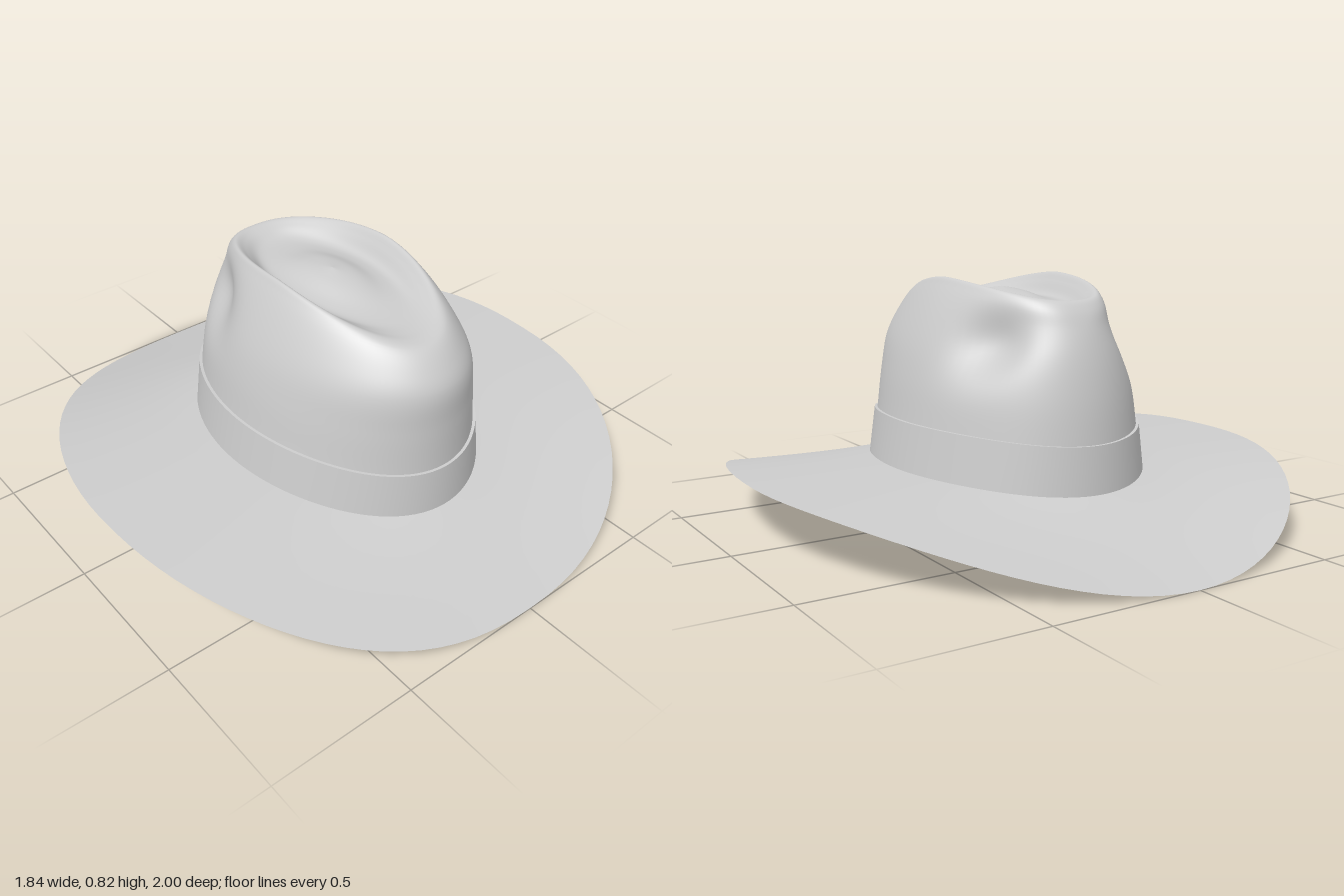
import * as THREE from 'three';

const COLS = 96;
const CZ = 0.03; // centre of the crown along z

// Smooth closed loft: rows run from the outside/bottom towards the inside/top
function loft(rows) {
  const pos = [], idx = [];
  rows.forEach(row => row.forEach(p => pos.push(p.x, p.y, p.z)));
  for (let j = 0; j < rows.length - 1; j++) {
    for (let i = 0; i < COLS; i++) {
      const n = (i + 1) % COLS;
      const a = j * COLS + i, b = j * COLS + n, c = a + COLS, d = b + COLS;
      idx.push(a, c, b, b, c, d);
    }
  }
  const g = new THREE.BufferGeometry();
  g.setAttribute('position', new THREE.Float32BufferAttribute(pos, 3));
  g.setIndex(idx);
  g.computeVertexNormals();
  return g;
}

const spow = (v, e) => Math.sign(v) * Math.pow(Math.abs(v), e);
// Brim height droops towards the two ends
const droop = z => 0.2 - 0.2 * Math.pow(Math.abs(z), 2.9);

// Crown rings: half width, z of +z end, z of -z end, y at sides, y at +z end, y at -z end
const RINGS = [
  [0.42, 0.595, -0.525],
  [0.395, 0.59, -0.52],
  [0.372, 0.59, -0.508, 0.49, 0.47, 0.47],
  [0.342, 0.588, -0.485, 0.6, 0.6, 0.59],
  [0.295, 0.555, -0.455, 0.71, 0.665, 0.68],
  [0.247, 0.505, -0.425, 0.795, 0.717, 0.735],
  [0.226, 0.465, -0.395, 0.82, 0.728, 0.762],
  [0.2, 0.42, -0.355, 0.79, 0.73, 0.755],
  [0.165, 0.35, -0.3, 0.745, 0.73, 0.735],
  [0.12, 0.25, -0.2, 0.745, 0.738, 0.738],
  [0.06, 0.13, -0.08, 0.768, 0.765, 0.765],
  [0, CZ, CZ, 0.78, 0.78, 0.78],
];

function ringPoint(k, a) {
  const [w, zf, zb, ys, yf, yb] = RINGS[k];
  const s = Math.sin(a), c = Math.cos(a);
  // The crease is blunter towards its narrow end
  const blunt = k >= 5 && s < 0 ? 0.82 : 1;
  const x = w * spow(c, blunt);
  const z = CZ + Math.abs(s) * ((s > 0 ? zf : zb) - CZ);
  if (k < 2) return new THREE.Vector3(x, droop(z) + k * 0.155, z);
  const y = ys + ((s > 0 ? yf : yb) - ys) * Math.pow(Math.abs(s), 1.6);
  return new THREE.Vector3(x, y, z);
}

// Finger dents on both sides of the crown
function pinch(p) {
  const g = Math.exp(-(((p.z + 0.28) / 0.12) ** 2) - (((p.y - 0.63) / 0.1) ** 2));
  p.x *= 1 - 0.25 * g;
  return p;
}

export function createModel() {
  const hat = new THREE.Group();
  hat.name = 'hat';
  const felt = new THREE.MeshStandardMaterial({ color: 0xcccccc, side: THREE.DoubleSide });
  felt.name = 'grey felt';
  const angles = Array.from({ length: COLS }, (_, i) => (i / COLS) * Math.PI * 2);
  const add = (name, rows) => {
    const mesh = new THREE.Mesh(loft(rows), felt);
    mesh.name = name;
    hat.add(mesh);
  };

  // Crown with a moat-shaped crease around a low dome
  const steps = (RINGS.length - 1) * 6;
  const curves = angles.map(a => new THREE.CatmullRomCurve3(RINGS.map((_, k) => ringPoint(k, a))));
  const crownRows = [];
  for (let j = 0; j <= steps; j++) {
    crownRows.push(curves.map(c => pinch(c.getPoint(j / steps))));
  }
  add('crown', crownRows);

  // Band: sits just outside the crown wall
  const outset = (k, d) => angles.map(a => {
    const p = ringPoint(k, a);
    return new THREE.Vector3(p.x + d * Math.cos(a), p.y, p.z + d * Math.sin(a));
  });
  const bandBottom = outset(0, 0.01), bandTop = outset(1, 0.01);
  add('band', [bandBottom, bandTop]);
  add('bandTopEdge', [bandTop, outset(1, -0.003)]);

  // Brim: straight from the rim to the foot of the crown
  const rim = angles.map(a => {
    const s = Math.sin(a);
    const e = s > 0 ? 2 / 2.3 : 1;
    const z = spow(s, e);
    return new THREE.Vector3(0.92 * spow(Math.cos(a), e), droop(z), z);
  });
  const foot = outset(0, 0);
  const brimRows = [];
  for (let j = 0; j <= 8; j++) {
    brimRows.push(rim.map((p, i) => p.clone().lerp(foot[i], j / 8)));
  }
  add('brim', brimRows);

  return hat;
}
